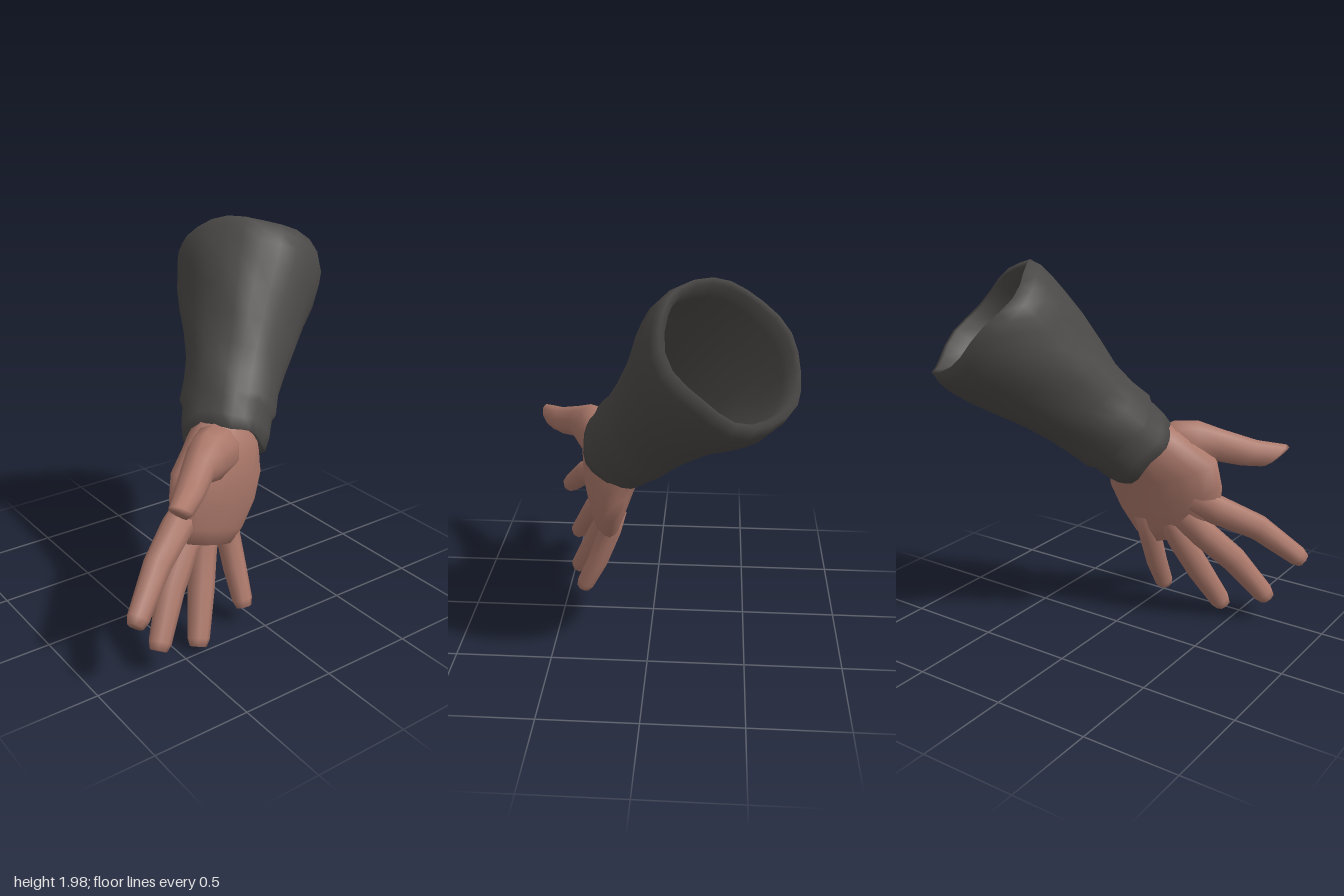
import * as THREE from 'three';
import { mergeVertices } from 'three/addons/utils/BufferGeometryUtils.js';

const V = (x, y, z) => new THREE.Vector3(x, y, z);

// Closed skin over elliptical sections: { c: centre, w: half width vector, t: half thickness }
function loft(sections, sides) {
  const pos = [], index = [], count = sections.length;
  sections.forEach(({ c, w, t }, i) => {
    const before = sections[Math.max(i - 1, 0)].c;
    const after = sections[Math.min(i + 1, count - 1)].c;
    const n = after.clone().sub(before).cross(w).setLength(t);
    for (let j = 0; j < sides; j++) {
      const a = (j / sides) * Math.PI * 2;
      const p = c.clone().addScaledVector(w, Math.cos(a)).addScaledVector(n, Math.sin(a));
      pos.push(p.x, p.y, p.z);
    }
  });
  const first = sections[0].c, last = sections[count - 1].c;
  pos.push(first.x, first.y, first.z, last.x, last.y, last.z);
  const start = count * sides, end = (count - 1) * sides;
  for (let j = 0; j < sides; j++) {
    const k = (j + 1) % sides;
    for (let i = 0; i < count - 1; i++) {
      const a = i * sides, b = a + sides;
      index.push(a + j, a + k, b + k, a + j, b + k, b + j);
    }
    index.push(k, j, start, end + j, end + k, start + 1);
  }
  const g = new THREE.BufferGeometry();
  g.setAttribute('position', new THREE.Float32BufferAttribute(pos, 3));
  g.setIndex(index);
  g.computeVertexNormals();
  return g;
}

// Finger from a list of [x, y, z, radius]; side is the direction across it
function finger(path, side) {
  const pts = path.map(([x, y, z]) => V(x, y, z));
  const sections = path.map(([, , , r], i) => {
    const axis = pts[Math.min(i + 1, pts.length - 1)].clone()
      .sub(pts[Math.max(i - 1, 0)]).normalize();
    const w = side.clone().addScaledVector(axis, -side.dot(axis)).setLength(r);
    return { c: pts[i], w, t: r * 0.95 };
  });
  // Blunt tip
  const tip = sections[sections.length - 1];
  const dir = tip.c.clone().sub(sections[sections.length - 2].c).normalize();
  sections.push({
    c: tip.c.clone().addScaledVector(dir, 0.04),
    w: tip.w.clone().multiplyScalar(0.75), t: tip.t * 0.75,
  });
  return loft(sections, 8);
}

export function createModel() {
  const group = new THREE.Group();
  const skin = new THREE.MeshStandardMaterial({ color: 0xab786a });
  skin.name = 'skin';
  const cloth = new THREE.MeshStandardMaterial({ color: 0x4b4947, side: THREE.DoubleSide });
  cloth.name = 'dark cloth';
  const add = (name, geometry, material) => {
    const m = new THREE.Mesh(geometry, material);
    m.name = name;
    group.add(m);
    return m;
  };

  // Flared sleeve with a rolled rim, a cuff ledge and an inner lining
  const profile = [
    [0.14, 0.14], [0.185, 0.0], [0.215, -0.015], [0.228, 0.05], [0.232, 0.15], [0.25, 0.18],
    [0.25, 0.3], [0.265, 0.43], [0.3, 0.58], [0.34, 0.74], [0.376, 0.88], [0.392, 0.98],
    [0.393, 1.06], [0.375, 1.12], [0.345, 1.11], [0.33, 1.03], [0.325, 0.9], [0.285, 0.7],
    [0.235, 0.45], [0.2, 0.25], [0.14, 0.14],
  ];
  let sleeve = new THREE.LatheGeometry(profile.map(([r, t]) => new THREE.Vector2(r, t)), 24);
  sleeve.deleteAttribute('uv');
  sleeve.deleteAttribute('normal');
  const p = sleeve.attributes.position;
  for (let i = 0; i < p.count; i++) {
    const x = p.getX(i), t = p.getY(i), z = p.getZ(i), a = Math.atan2(z, x);
    // Soft creases and an uneven rim
    const s = 1 + 0.012 * Math.sin(3 * a + 8 * t) + 0.014 * Math.sin(5 * a - 13 * t);
    const dt = 0.012 * Math.sin(5 * a + 2);
    p.setXYZ(i, x * s, t + dt, z * s);
  }
  sleeve = mergeVertices(sleeve, 1e-4);
  sleeve.computeVertexNormals();
  const sleeveMesh = add('sleeve', sleeve, cloth);
  sleeveMesh.position.set(0.18, 0.95, 0.04);
  sleeveMesh.quaternion.setFromUnitVectors(V(0, 1, 0), V(-0.51, 0.67, -0.53).normalize());

  // Palm and wrist, with the forearm stump hidden in the sleeve
  add('palm', loft([
    { c: V(0.03, 1.15, -0.11), w: V(0.02, 0.07, 0.08), t: 0.09 },
    { c: V(0.08, 1.08, -0.06), w: V(0.03, 0.10, 0.12), t: 0.13 },
    { c: V(0.19, 0.95, 0.05), w: V(0.04, 0.12, 0.19), t: 0.155 },
    { c: V(0.25, 0.83, 0.13), w: V(0.07, 0.09, 0.295), t: 0.145 },
    { c: V(0.27, 0.69, 0.17), w: V(0.06, 0.09, 0.285), t: 0.12 },
    { c: V(0.285, 0.56, 0.205), w: V(0.055, 0.09, 0.235), t: 0.092 },
    { c: V(0.295, 0.475, 0.22), w: V(0.045, 0.07, 0.18), t: 0.062 },
  ], 16), skin);

  const across = V(0.12, 0.4, 0.9);
  const fingers = {
    indexFinger: [[0.27, 0.70, 0.31, 0.08], [0.33, 0.645, 0.43, 0.082], [0.445, 0.55, 0.62, 0.071],
      [0.565, 0.385, 0.805, 0.056]],
    middleFinger: [[0.26, 0.60, 0.27, 0.08], [0.30, 0.50, 0.37, 0.078], [0.39, 0.355, 0.51, 0.073],
      [0.495, 0.15, 0.645, 0.058]],
    ringFinger: [[0.25, 0.56, 0.19, 0.075], [0.28, 0.44, 0.24, 0.073], [0.36, 0.26, 0.31, 0.071],
      [0.46, 0.055, 0.395, 0.058]],
    littleFinger: [[0.22, 0.58, 0.05, 0.075], [0.245, 0.45, 0.06, 0.066], [0.31, 0.28, 0.06, 0.063],
      [0.385, 0.125, 0.065, 0.054]],
  };
  for (const [name, path] of Object.entries(fingers)) add(name, finger(path, across), skin);

  // Thumb with the fleshy mound at its root and a slanted tip
  add('thumb', loft([
    { c: V(0.21, 0.93, 0.08), w: V(0, 0.12, 0), t: 0.11 },
    { c: V(0.29, 0.97, 0.17), w: V(0, 0.145, 0.01), t: 0.12 },
    { c: V(0.36, 0.98, 0.27), w: V(0, 0.135, 0.01), t: 0.105 },
    { c: V(0.43, 0.975, 0.37), w: V(0.01, 0.09, 0.01), t: 0.08 },
    { c: V(0.54, 0.925, 0.50), w: V(0.03, 0.07, 0.03), t: 0.07 },
    { c: V(0.63, 0.905, 0.605), w: V(0.045, 0.06, 0.05), t: 0.056 },
    { c: V(0.645, 0.905, 0.63), w: V(0.035, 0.045, 0.04), t: 0.045 },
  ], 10), skin);

  return group;
}
